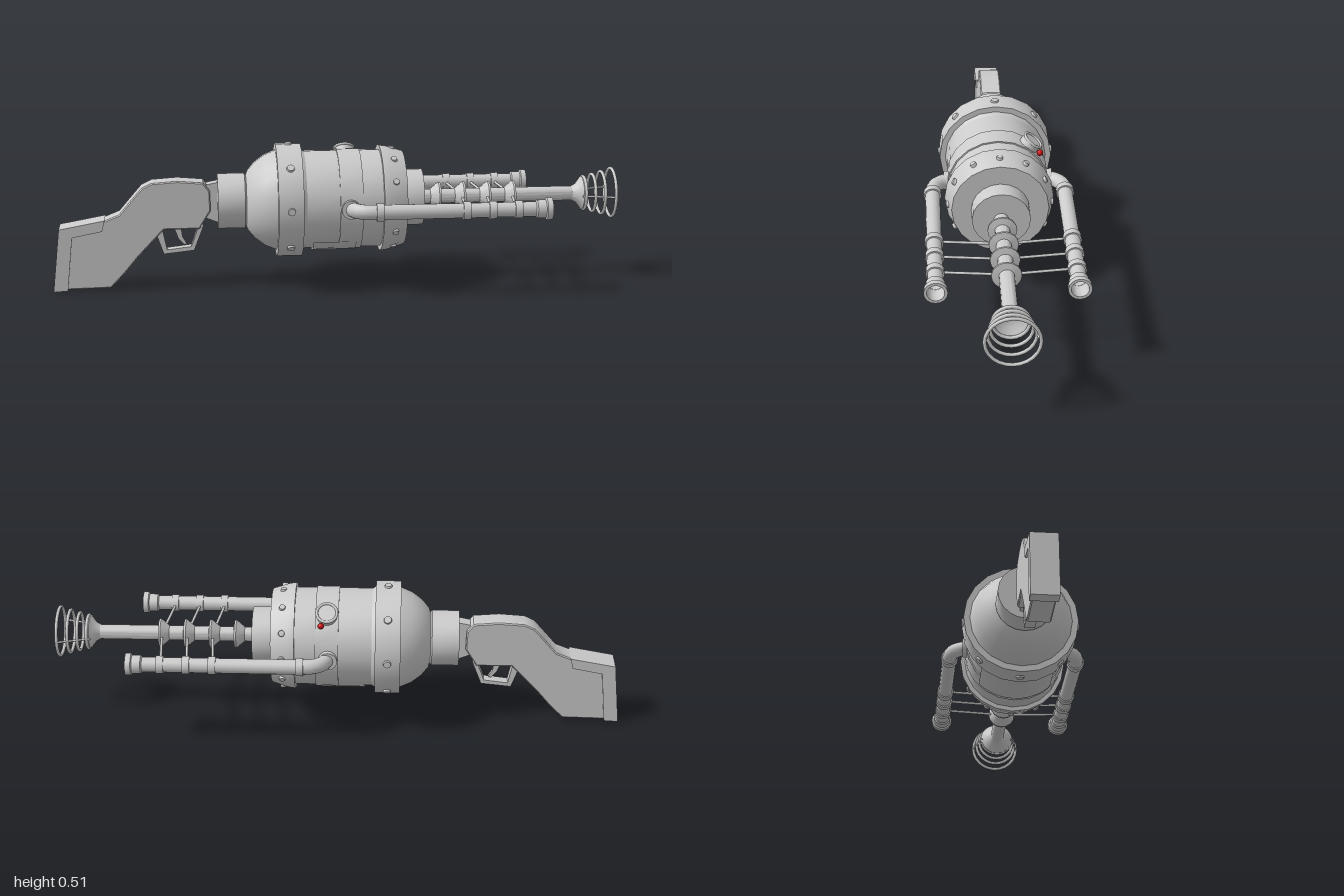
import * as THREE from 'three';
import { toCreasedNormals } from 'three/addons/utils/BufferGeometryUtils.js';

const AXIS = 0.307; // height of the barrel axis
const grey = new THREE.MeshStandardMaterial({ color: 0xcccccc, side: THREE.DoubleSide });
const red = new THREE.MeshStandardMaterial({ color: 0xcc1111 });

function add(parent, name, geometry, material = grey) {
  const mesh = new THREE.Mesh(geometry, material);
  mesh.name = name;
  parent.add(mesh);
  return mesh;
}

// Solid of revolution along x from [x, radius] pairs
function turned(profile, sides = 20) {
  const geo = new THREE.LatheGeometry(profile.map(([x, r]) => new THREE.Vector2(r, x)), sides);
  return toCreasedNormals(geo.rotateZ(-Math.PI / 2), 0.5);
}

// Side outline extruded symmetrically across z
function slab(points, width, bevel = 0) {
  const shape = new THREE.Shape(points.map(([x, y]) => new THREE.Vector2(x, y)));
  const depth = width - 2 * bevel;
  const geo = new THREE.ExtrudeGeometry(shape, {
    depth, bevelEnabled: bevel > 0, bevelSize: bevel, bevelOffset: -bevel, bevelThickness: bevel, bevelSegments: 1,
  });
  return toCreasedNormals(geo.translate(0, 0, -depth / 2), 0.5);
}

function rod(a, b, r, sides = 8) {
  return new THREE.TubeGeometry(new THREE.LineCurve3(new THREE.Vector3(...a), new THREE.Vector3(...b)), 1, r, sides);
}

// Ring of flattened rivets around the body
function rivets(parent, name, count, x, radius, size) {
  for (let i = 0; i < count; i++) {
    const pivot = new THREE.Group();
    pivot.rotation.x = (i / count) * Math.PI * 2;
    parent.add(pivot);
    add(pivot, name, new THREE.CylinderGeometry(size * 0.8, size, 0.014, 10)).position.set(x, radius, 0);
  }
}

function makeStock() {
  const stock = new THREE.Group();
  stock.name = 'stock';
  add(stock, 'shoulderStock', slab([
    [-0.99, 0.005], [-0.965, 0.222], [-0.82, 0.25], [-0.765, 0.272], [-0.72, 0.325], [-0.685, 0.365], [-0.65, 0.382],
    [-0.56, 0.388], [-0.47, 0.38], [-0.447, 0.35], [-0.445, 0.28], [-0.485, 0.215], [-0.61, 0.215],
    [-0.7, 0.12], [-0.75, 0.06], [-0.8, 0.008],
  ], 0.076, 0.004));
  // Raised plate wrapping the heel and comb
  add(stock, 'buttPlate', slab([
    [-1, 0], [-0.975, 0.225], [-0.815, 0.254], [-0.825, 0.215], [-0.93, 0.195], [-0.95, 0.003],
  ], 0.09));
  add(stock, 'tang', slab([[-0.46, 0.25], [-0.46, 0.37], [-0.41, 0.38], [-0.41, 0.23]], 0.045));
  // Trigger guard as a closed loop with a hole
  const guard = new THREE.Shape([[-0.645, 0.218], [-0.612, 0.122], [-0.505, 0.133], [-0.472, 0.218]]
    .map((p) => new THREE.Vector2(...p)));
  guard.holes.push(new THREE.Path([[-0.615, 0.21], [-0.492, 0.21], [-0.515, 0.147], [-0.6, 0.137]]
    .map((p) => new THREE.Vector2(...p))));
  add(stock, 'triggerGuard', new THREE.ExtrudeGeometry(guard, { depth: 0.036, bevelEnabled: false }).translate(0, 0, -0.018));
  add(stock, 'trigger', slab([
    [-0.575, 0.215], [-0.55, 0.215], [-0.545, 0.18], [-0.53, 0.155], [-0.54, 0.152], [-0.56, 0.175],
  ], 0.014));
  return stock;
}

function makeBody() {
  const body = new THREE.Group();
  body.name = 'body';
  add(body, 'tank', turned([
    [-0.42, 0], [-0.42, 0.098], [-0.325, 0.098], [-0.32, 0.092], [-0.315, 0.105], [-0.29, 0.135], [-0.255, 0.161],
    [-0.215, 0.178], [-0.215, 0.2], [-0.127, 0.2], [-0.127, 0.18], [-0.115, 0.173], [0, 0.173], [0, 0.178],
    [0.08, 0.178], [0.08, 0.173], [0.152, 0.173], [0.152, 0.189], [0.175, 0.186], [0.236, 0.167], [0.236, 0.1],
    [0.305, 0.1], [0.305, 0],
  ]));
  rivets(body, 'bandRivet', 8, -0.17, 0.198, 0.016);
  rivets(body, 'collarRivet', 12, 0.195, 0.178, 0.013);
  // Curved access panel under the tank
  const panel = new THREE.CylinderGeometry(0.18, 0.18, 0.15, 10, 1, true, -Math.PI / 4, Math.PI / 2);
  panel.rotateZ(-Math.PI / 2).rotateX(0);
  const centre = panel.boundingBox || (panel.computeBoundingBox(), panel.boundingBox);
  // Turn the arc, whose middle points along +z, to face down
  if (centre.max.z > 0) panel.rotateX(Math.PI / 2);
  add(body, 'accessPanel', panel).position.x = -0.015;

  // Dial tilted towards the back, with a red lamp beside it
  const gauge = new THREE.Group();
  gauge.name = 'gauge';
  gauge.rotation.x = -0.67;
  body.add(gauge);
  add(gauge, 'gaugeCase', new THREE.CylinderGeometry(0.036, 0.036, 0.04, 20)).position.set(0.04, 0.178, 0);
  const rim = add(gauge, 'gaugeRim', new THREE.TorusGeometry(0.035, 0.005, 8, 24));
  rim.position.set(0.04, 0.199, 0);
  rim.rotation.x = Math.PI / 2;
  const lamp = new THREE.Group();
  lamp.rotation.x = -0.9;
  body.add(lamp);
  add(lamp, 'warningLamp', new THREE.SphereGeometry(0.011, 12, 8), red).position.set(0.06, 0.187, 0);
  return body;
}

function makeBarrel() {
  const barrel = new THREE.Group();
  barrel.name = 'barrel';
  add(barrel, 'centreBarrel', turned([[0.3, 0], [0.3, 0.026], [0.87, 0.026], [0.87, 0]], 16));
  for (const x of [0.37, 0.458, 0.548, 0.638]) {
    add(barrel, 'barrelFin', turned([[x - 0.035, 0.025], [x - 0.005, 0.05], [x + 0.002, 0.05], [x + 0.006, 0.025]], 16));
  }
  // Flared horn with stacked rings
  add(barrel, 'horn', turned([
    [0.85, 0.026], [0.865, 0.034], [0.885, 0.06], [0.892, 0.06], [0.875, 0.033], [0.87, 0],
  ]));
  for (const [x, r] of [[0.893, 0.059], [0.925, 0.067], [0.958, 0.076], [0.994, 0.087]]) {
    add(barrel, 'hornRing', new THREE.TorusGeometry(r, 0.006, 8, 24).rotateY(Math.PI / 2)).position.x = x;
  }
  for (const s of [-1, 1]) add(barrel, 'hornStay', rod([0.88, 0, s * 0.055], [0.994, 0, s * 0.087], 0.004));
  return barrel;
}

function makeSideTube(s) {
  const tube = new THREE.Group();
  tube.name = s > 0 ? 'frontSideTube' : 'backSideTube';
  const z = s * 0.23;
  // Elbow leaving the tank, then a straight run
  const path = new THREE.CurvePath();
  path.add(new THREE.CubicBezierCurve3(
    new THREE.Vector3(0.035, 0, s * 0.15), new THREE.Vector3(0.04, 0, s * 0.205),
    new THREE.Vector3(0.065, 0, z), new THREE.Vector3(0.125, 0, z)));
  path.add(new THREE.LineCurve3(new THREE.Vector3(0.125, 0, z), new THREE.Vector3(0.69, 0, z)));
  add(tube, 'tubeBody', new THREE.TubeGeometry(path, 40, 0.026, 16));
  add(tube, 'tubeSocket', new THREE.CylinderGeometry(0.033, 0.033, 0.03, 16).rotateX(Math.PI / 2)).position.set(0.036, 0, s * 0.175);
  for (const x of [0.13, 0.43, 0.52, 0.61]) {
    add(tube, 'tubeCollar', turned([
      [x - 0.013, 0.025], [x - 0.013, 0.031], [x + 0.013, 0.031], [x + 0.013, 0.025],
    ], 16)).position.z = z;
  }
  add(tube, 'muzzle', turned([
    [0.67, 0.025], [0.675, 0.032], [0.705, 0.032], [0.708, 0.039], [0.727, 0.039],
    [0.727, 0.029], [0.64, 0.024], [0.64, 0],
  ], 16)).position.z = z;
  // Thin rods tying the tube to the fins
  for (const x of [0.43, 0.52, 0.61]) add(tube, 'tieRod', rod([x, 0, s * 0.21], [x + 0.02, 0, s * 0.02], 0.005));
  return tube;
}

export function createModel() {
  const model = new THREE.Group();
  model.name = 'rayRifle';
  model.add(makeStock());
  const upper = new THREE.Group();
  upper.name = 'upperAssembly';
  upper.position.y = AXIS;
  upper.add(makeBody(), makeBarrel(), makeSideTube(1), makeSideTube(-1));
  model.add(upper);
  return model;
}
